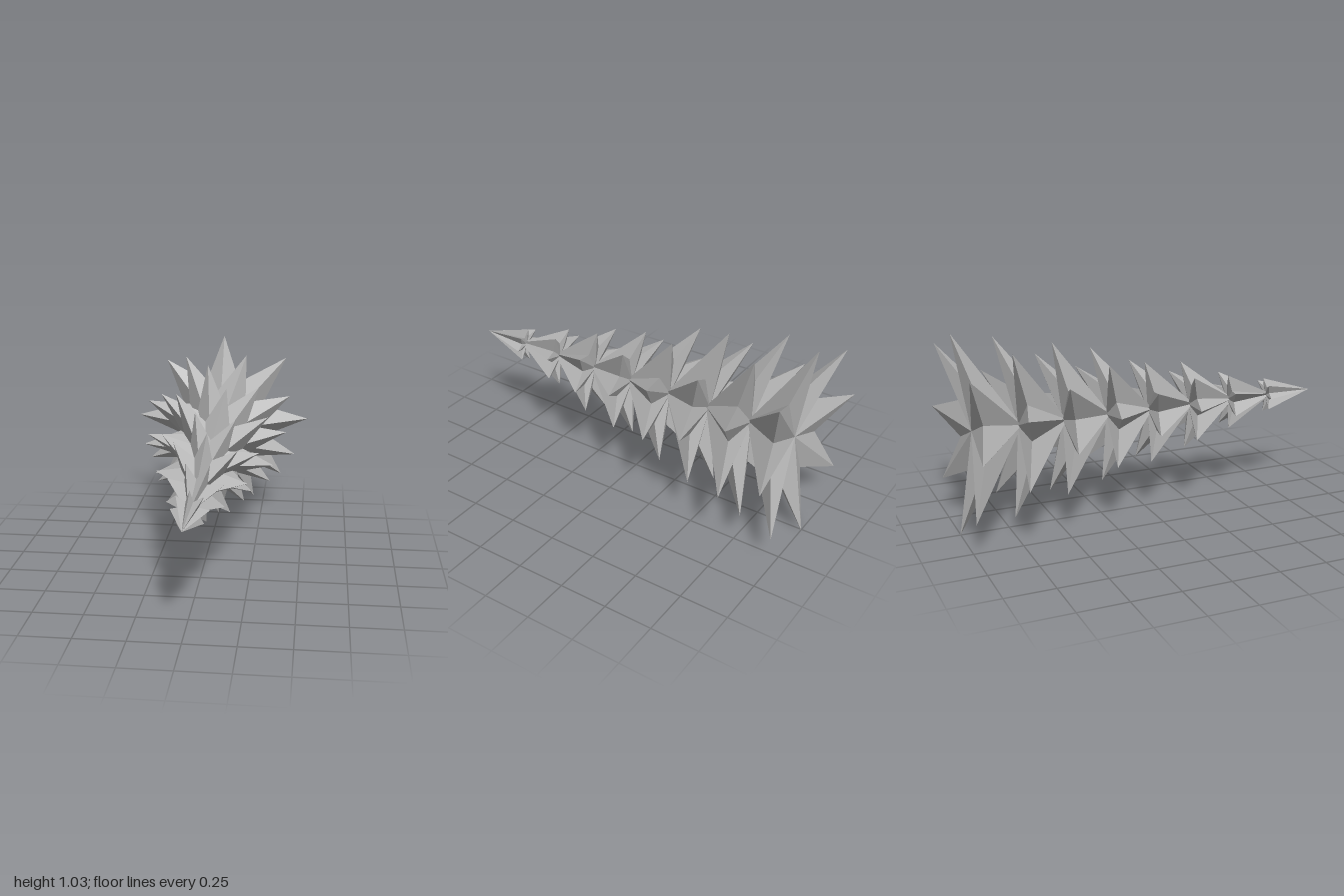
import * as THREE from 'three';

const AXIS_X = 0.005;
const AXIS_Y = 0.533;
const POINTS = 8;

// Tip radius of each tier, front to back; the larger tiers are slightly irregular
const TIERS = [
  0.093, 0.155, 0.232, 0.28,
  [0.36, 0.353, 0.366, 0.36, 0.35, 0.335, 0.34, 0.345],
  [0.398, 0.384, 0.423, 0.397, 0.415, 0.392, 0.389, 0.395],
  [0.45, 0.456, 0.463, 0.45, 0.458, 0.45, 0.466, 0.468],
  [0.509, 0.525, 0.497, 0.488, 0.519, 0.49, 0.533, 0.5],
];

// Star-based spike: apex to the front, tips swept back, shallow hollow base
function starSpike(radii, apexZ, tipZ, turn) {
  const mean = radii.reduce((a, b) => a + b) / POINTS;
  const valleyZ = tipZ + 0.16 * mean;
  const apex = [0, 0, apexZ];
  const hub = [0, 0, valleyZ];
  const ring = [];
  for (let i = 0; i < POINTS * 2; i++) {
    const isTip = i % 2 === 0;
    const r = isTip ? radii[i / 2] : mean * 0.5;
    const a = turn + (i * Math.PI) / POINTS;
    ring.push([r * Math.cos(a), r * Math.sin(a), isTip ? tipZ : valleyZ]);
  }
  const positions = [];
  ring.forEach((p, i) => {
    const q = ring[(i + 1) % ring.length];
    positions.push(...apex, ...p, ...q, ...hub, ...q, ...p);
  });
  const geometry = new THREE.BufferGeometry();
  geometry.setAttribute('position', new THREE.Float32BufferAttribute(positions, 3));
  geometry.computeVertexNormals();
  return geometry;
}

export function createModel() {
  const group = new THREE.Group();
  group.name = 'tieredSpike';
  const grey = new THREE.MeshStandardMaterial({ color: 0xb8b8b8 });
  grey.name = 'grey';

  // Overlapping tiers, each turned a seventh of a half circle from the next
  TIERS.forEach((tier, k) => {
    const radii = Array.isArray(tier) ? tier : Array(POINTS).fill(tier);
    const turn = (((7 - k) * Math.PI) / 7) % (Math.PI / 4);
    const mesh = new THREE.Mesh(starSpike(radii, 1 - 0.2375 * k, 0.71 - 0.2443 * k, turn), grey);
    mesh.name = `starTier${k + 1}`;
    mesh.position.set(AXIS_X, AXIS_Y, 0);
    group.add(mesh);
  });
  return group;
}
